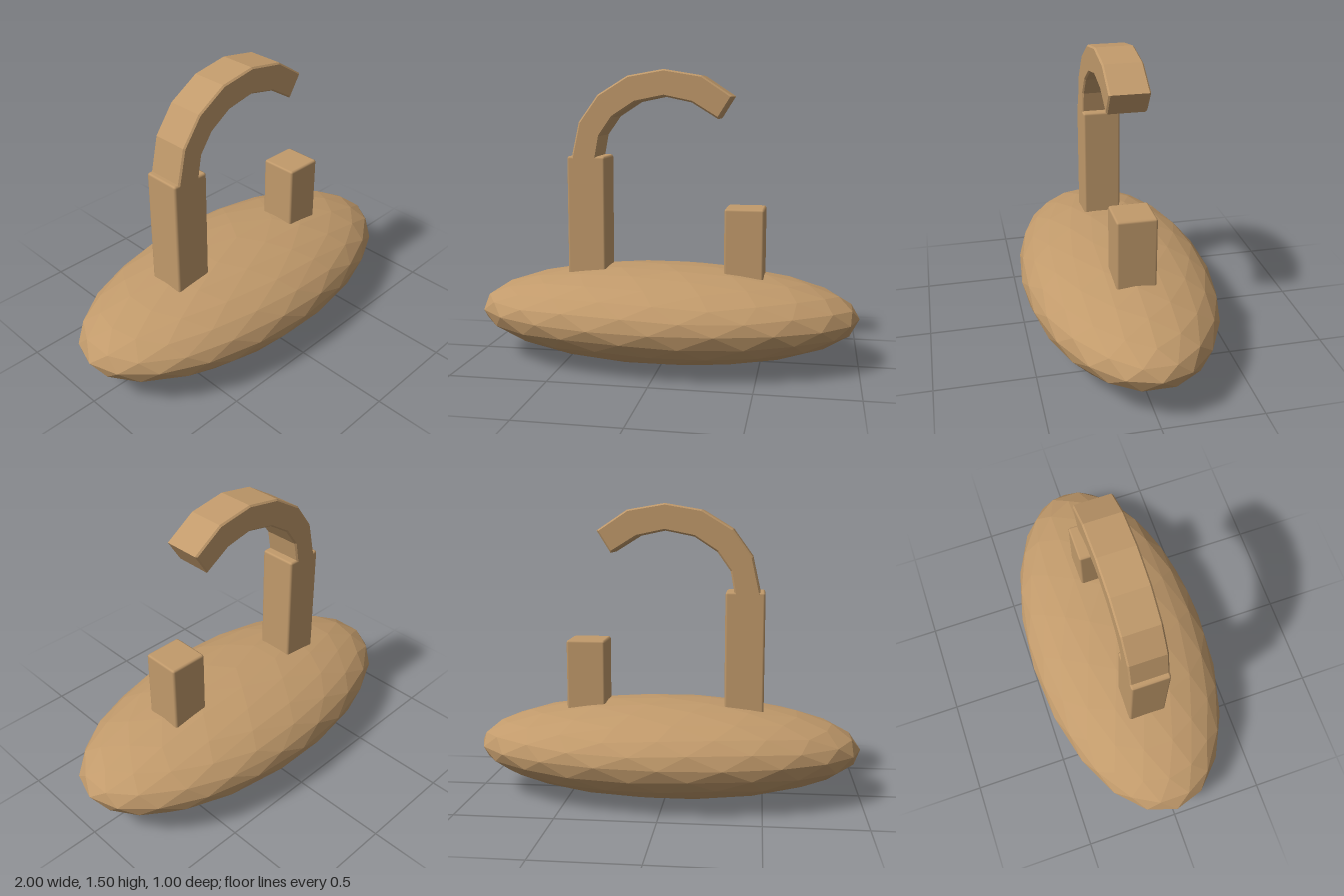
import * as THREE from 'three';
import { RoundedBoxGeometry } from 'three/addons/geometries/RoundedBoxGeometry.js';

const wood = new THREE.MeshStandardMaterial({ color: 0xc19a6b });
wood.name = 'tan wood';

// Faceted ball with a vertex at each pole: an icosahedron halved twice
function facetedBall() {
  const ring = (y, turn) => Array.from({ length: 5 }, (_, i) => {
    const a = (i + turn) * Math.PI * 0.4, r = Math.sqrt(1 - y * y);
    return new THREE.Vector3(r * Math.cos(a), y, -r * Math.sin(a));
  });
  const top = new THREE.Vector3(0, 1, 0), bottom = new THREE.Vector3(0, -1, 0);
  const up = ring(Math.sqrt(0.2), 0), low = ring(-Math.sqrt(0.2), 0.5);
  let faces = [];
  for (let i = 0; i < 5; i++) {
    const j = (i + 1) % 5;
    faces.push([top, up[i], up[j]], [up[i], low[i], up[j]],
      [low[i], low[j], up[j]], [bottom, low[j], low[i]]);
  }
  const mid = (a, b) => a.clone().add(b).normalize();
  for (let pass = 0; pass < 2; pass++) {
    faces = faces.flatMap(([a, b, c]) => {
      const ab = mid(a, b), bc = mid(b, c), ca = mid(c, a);
      return [[a, ab, ca], [ab, b, bc], [ca, bc, c], [ab, bc, ca]];
    });
  }
  return new THREE.BufferGeometry().setFromPoints(faces.flat());
}

export function createModel() {
  const group = new THREE.Group();
  const add = (name, geometry, x = 0, y = 0, z = 0) => {
    const mesh = new THREE.Mesh(geometry, wood);
    mesh.name = name;
    mesh.position.set(x, y, z);
    group.add(mesh);
  };

  // Flattened, faceted base
  const base = facetedBall().scale(1, 0.25, 0.5);
  base.computeVertexNormals();
  add('base', base, 0, 0.25, 0);

  // Two square posts with softened edges, sunk into the base
  const post = (name, x, topY) => {
    const h = topY - 0.25;
    add(name, new RoundedBoxGeometry(0.2, h, 0.2, 1, 0.012), x, topY - h / 2, 0);
  };
  post('tallPost', -0.4, 1.065);
  post('shortPost', 0.415, 0.81);

  // Curved hook in straight segments, rooted in the tall post
  const outer = [[-0.48, 1.0], [-0.475, 1.06], [-0.435, 1.24], [-0.335, 1.378],
    [-0.18, 1.473], [0.005, 1.505], [0.195, 1.473], [0.35, 1.37]];
  const inner = [[0.28, 1.258], [0.147, 1.34], [0.005, 1.37], [-0.143, 1.34],
    [-0.258, 1.265], [-0.325, 1.17], [-0.345, 1.06], [-0.35, 1.0]];
  const outline = new THREE.Shape([...outer, ...inner].map(([x, y]) => new THREE.Vector2(x, y)));
  const bevel = 0.008;
  const hook = new THREE.ExtrudeGeometry(outline, {
    depth: 0.2 - 2 * bevel, bevelThickness: bevel, bevelSize: bevel,
    bevelOffset: -bevel, bevelSegments: 1,
  });
  add('hook', hook, 0, 0, -0.1 + bevel);

  return group;
}
